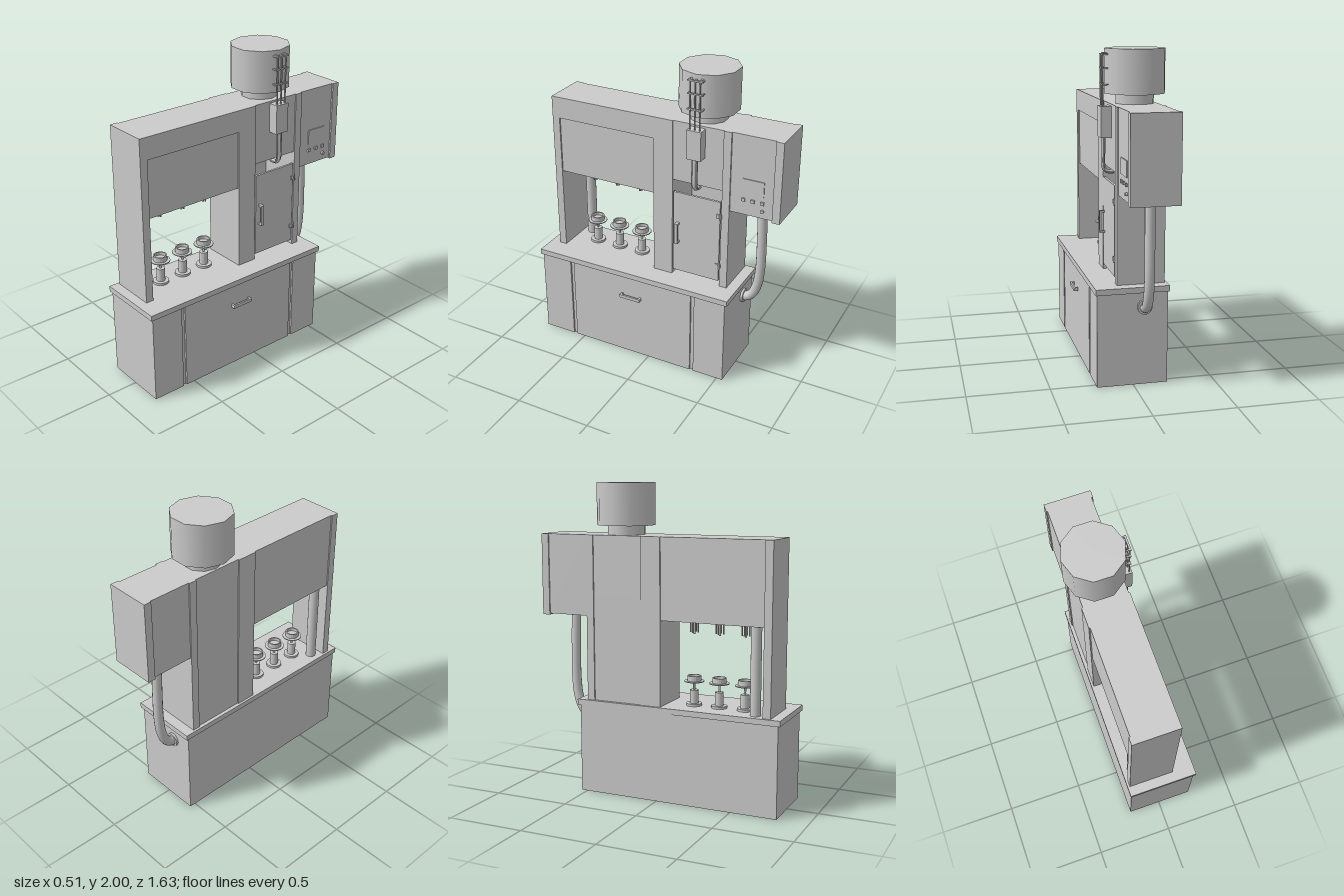
import * as THREE from 'three';

const mat = new THREE.MeshStandardMaterial({ color: 0xcccccc });
const thin = new THREE.MeshStandardMaterial({ color: 0xcccccc, side: THREE.DoubleSide });

function add(parent, name, geo, x = 0, y = 0, z = 0, m = mat) {
  const mesh = new THREE.Mesh(geo, m);
  mesh.name = name;
  mesh.position.set(x, y, z);
  parent.add(mesh);
  return mesh;
}

// box given by its limits on each axis
function box(parent, name, x0, x1, y0, y1, z0, z1) {
  return add(parent, name, new THREE.BoxGeometry(x1 - x0, y1 - y0, z1 - z0),
    (x0 + x1) / 2, (y0 + y1) / 2, (z0 + z1) / 2);
}

// upright cylinder between two heights
function cyl(parent, name, r, x, z, y0, y1, sides = 20) {
  return add(parent, name, new THREE.CylinderGeometry(r, r, y1 - y0, sides), x, (y0 + y1) / 2, z);
}

// round bar through a few points, with rounded bends
function pipe(parent, name, pts, r, sides = 10, seg = 32) {
  const curve = new THREE.CatmullRomCurve3(pts.map(p => new THREE.Vector3(...p)), false, 'centripetal');
  return add(parent, name, new THREE.TubeGeometry(curve, seg, r, sides), 0, 0, 0, thin);
}

function group(parent, name) {
  const g = new THREE.Group();
  g.name = name;
  parent.add(g);
  return g;
}

// grab handle: two posts and a bar standing off a +x face
function handle(parent, name, x0, x1, y0, y1, z0, z1, t) {
  const g = group(parent, name);
  const upright = y1 - y0 > z1 - z0;
  box(g, 'bar', x1 - t, x1, y0, y1, z0, z1);
  if (upright) {
    box(g, 'post', x0, x1, y0, y0 + t, z0, z1);
    box(g, 'post', x0, x1, y1 - t, y1, z0, z1);
  } else {
    box(g, 'post', x0, x1, y0, y1, z0, z0 + t);
    box(g, 'post', x0, x1, y0, y1, z1 - t, z1);
  }
}

// pedestal with a dished holder on a thin stem
function station(parent, x, z) {
  const g = group(parent, 'station');
  cyl(g, 'foot', 0.05, x, z, 0.615, 0.63);
  cyl(g, 'pedestal', 0.027, x, z, 0.63, 0.715);
  cyl(g, 'stem', 0.007, x, z, 0.715, 0.77, 10);
  cyl(g, 'plate', 0.063, x, z, 0.767, 0.773);
  const cup = [[0, 0], [0.044, 0], [0.044, 0.033], [0.036, 0.033], [0.036, 0.012], [0, 0.012]]
    .map(p => new THREE.Vector2(...p));
  const geo = new THREE.LatheGeometry(cup, 20).toNonIndexed();
  geo.computeVertexNormals();
  add(g, 'holder', geo, x, 0.773, z, thin);
}

// overhead spindle with guide pins
function spindle(parent, x, z) {
  const g = group(parent, 'spindle');
  cyl(g, 'rod', 0.007, x, z, 1.07, 1.17, 10);
  for (const s of [-1, 1]) {
    cyl(g, 'guidePin', 0.005, x, z + s * 0.025, 1.08, 1.17, 8);
    cyl(g, 'guidePin', 0.005, x + s * 0.025, z, 1.08, 1.17, 8);
  }
}

export function createModel() {
  const model = new THREE.Group();
  model.name = 'workshopMachine';

  // base cabinet with front panels separated by grooves
  const base = group(model, 'baseCabinet');
  box(base, 'cabinetBody', -0.212, 0.21, 0, 0.58, -0.54, 0.80);
  for (const [z0, z1] of [[-0.54, -0.33], [-0.305, 0.56], [0.585, 0.80]])
    box(base, 'cabinetPanel', 0.205, 0.222, 0, 0.575, z0, z1);
  box(base, 'worktop', -0.22, 0.232, 0.578, 0.614, -0.558, 0.814);
  handle(base, 'drawerHandle', 0.222, 0.25, 0.428, 0.45, 0.05, 0.195, 0.012);

  // upper frame: end leg, beam and pillars around an open bay
  const frame = group(model, 'upperFrame');
  const X0 = -0.205, X1 = 0.09, TOP = 1.675;
  box(frame, 'endLeg', X0, X1, 0.614, TOP, 0.70, 0.75);
  box(frame, 'topBeam', -0.197, X1, 1.535, TOP, 0.025, 0.70);
  box(frame, 'bayHood', -0.197, 0.08, 1.16, 1.535, 0.025, 0.70);
  box(frame, 'middlePillar', X0, X1, 0.614, TOP, -0.107, 0.025);
  box(frame, 'rearPillar', X0, X1, 0.614, TOP, -0.49, -0.44);
  cyl(frame, 'bayColumn', 0.033, -0.15, 0.635, 0.614, 1.17);

  // compartment behind the door
  const cell = group(model, 'compartment');
  box(cell, 'upperPanel', -0.197, 0.083, 1.285, TOP, -0.44, -0.107);
  box(cell, 'backPanel', -0.197, -0.185, 0.614, 1.285, -0.44, -0.107);
  box(cell, 'door', 0.075, 0.09, 0.65, 1.207, -0.432, -0.115);
  handle(cell, 'doorHandle', 0.09, 0.122, 0.86, 1.0, -0.158, -0.137, 0.012);
  for (const y of [0.76, 1.11]) {
    box(cell, 'hingeLeaf', 0.08, 0.097, y - 0.014, y + 0.014, -0.445, -0.41);
    cyl(cell, 'hingePin', 0.007, 0.095, -0.436, y - 0.02, y + 0.02, 8);
  }

  // work stations and the spindles above them
  for (const z of [0.535, 0.365, 0.195]) {
    station(model, -0.06, z);
    spindle(model, -0.06, z);
  }
  station(model, -0.06, -0.27);

  // control box at the back end
  const control = group(model, 'controlBox');
  box(control, 'boxBody', -0.197, 0.08, 1.16, TOP, -0.765, -0.49);
  box(control, 'endPlate', X0, X1, 1.152, TOP, -0.814, -0.765);
  box(control, 'screen', 0.075, 0.086, 1.302, 1.398, -0.705, -0.567);
  for (const z of [-0.575, -0.637, -0.697])
    box(control, 'button', 0.075, 0.09, 1.25, 1.27, z - 0.011, z + 0.011);
  const knob = add(control, 'knob', new THREE.CylinderGeometry(0.011, 0.011, 0.02, 12), 0.083, 1.208, -0.70);
  knob.rotation.z = Math.PI / 2;

  // cable duct from the control box to the cabinet
  const duct = group(model, 'cableDuct');
  cyl(duct, 'upperFlange', 0.062, -0.068, -0.645, 1.148, 1.162);
  pipe(duct, 'ductPipe', [[-0.068, 1.16, -0.645], [-0.068, 0.95, -0.65], [-0.068, 0.72, -0.65],
    [-0.068, 0.6, -0.636], [-0.068, 0.52, -0.605], [-0.068, 0.49, -0.57], [-0.068, 0.485, -0.54]], 0.031, 14);
  const flange = add(duct, 'lowerFlange', new THREE.CylinderGeometry(0.045, 0.045, 0.016, 20), -0.068, 0.487, -0.546);
  flange.rotation.x = Math.PI / 2;

  // ten-sided tank on a collar
  const tank = group(model, 'tank');
  const TX = -0.069, TZ = -0.272;
  cyl(tank, 'collar', 0.118, TX, TZ, TOP, 1.735, 10).rotation.y = Math.PI / 10 * 5;
  cyl(tank, 'drum', 0.187, TX, TZ, 1.735, 2.0, 10).rotation.y = Math.PI / 2;

  // junction box with lines up to the tank and down into the compartment
  const lines = group(model, 'supplyLines');
  box(lines, 'junctionBox', 0.083, 0.148, 1.475, 1.662, -0.32, -0.225);
  for (const z of [-0.24, -0.272, -0.304])
    pipe(lines, 'riser', [[0.132, 1.65, z], [0.132, 1.8, z], [0.132, 1.955, z], [0.127, 1.967, z],
      [0.115, 1.97, z], [0.05, 1.97, z]], 0.005, 8);
  for (const y of [1.79, 1.885, 1.965]) {
    box(lines, 'clampBar', 0.126, 0.138, y - 0.004, y + 0.004, -0.322, -0.222);
    for (const z of [-0.315, -0.229])
      box(lines, 'clampArm', 0.04, 0.138, y - 0.004, y + 0.004, z - 0.004, z + 0.004);
  }
  const drop = (z, r, name) => pipe(lines, name, [[0.124, 1.48, z], [0.124, 1.4, z], [0.124, 1.31, z],
    [0.117, 1.283, z], [0.1, 1.268, z], [0.06, 1.265, z]], r, 10);
  drop(-0.272, 0.013, 'dropHose');
  drop(-0.256, 0.005, 'dropLine');
  drop(-0.288, 0.005, 'dropLine');

  return model;
}
